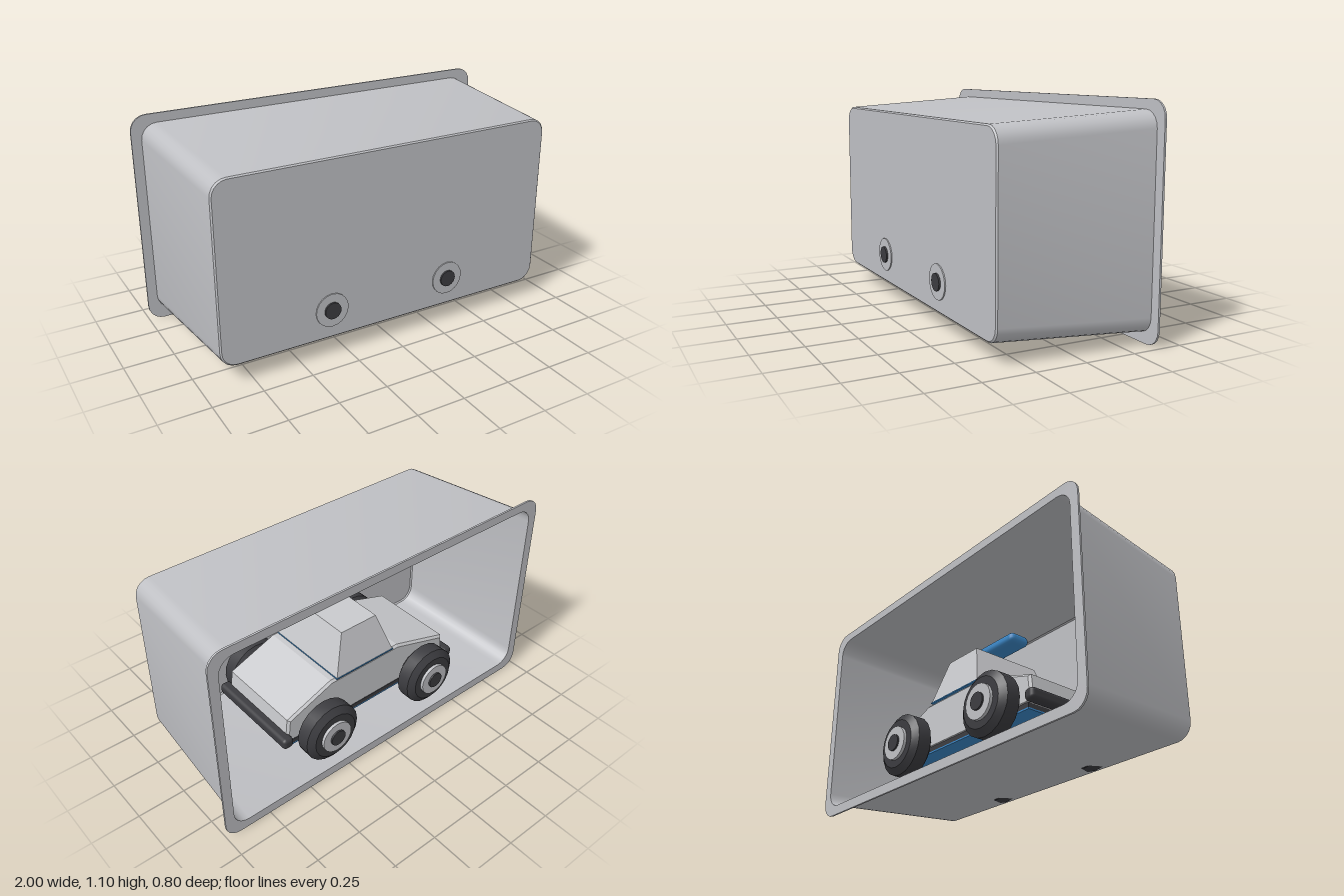
import * as THREE from 'three';
import { toCreasedNormals } from 'three/addons/utils/BufferGeometryUtils.js';
import { RoundedBoxGeometry } from 'three/addons/geometries/RoundedBoxGeometry.js';

function material(name, color, side = THREE.FrontSide) {
  const m = new THREE.MeshStandardMaterial({ color, side });
  m.name = name;
  return m;
}

// Rounded rectangle outline, counter-clockwise, centred on (0, cy)
function roundedRect(hx, hy, cy, r, steps = 5) {
  const pts = [];
  [[1, 1], [-1, 1], [-1, -1], [1, -1]].forEach(([sx, sy], c) => {
    for (let i = 0; i <= steps; i++) {
      const a = (c + i / steps) * Math.PI / 2;
      pts.push(new THREE.Vector2(sx * (hx - r) + r * Math.cos(a), cy + sy * (hy - r) + r * Math.sin(a)));
    }
  });
  return pts;
}

// Skin between outlines given from back to front
function loft(rings) {
  const pos = [], index = [], n = rings[0].pts.length;
  rings.forEach(({ pts, z }) => pts.forEach(p => pos.push(p.x, p.y, z)));
  for (let k = 0; k < rings.length - 1; k++) {
    for (let i = 0; i < n; i++) {
      const a = k * n + i, b = k * n + (i + 1) % n;
      index.push(a, b, b + n, a, b + n, a + n);
    }
  }
  const g = new THREE.BufferGeometry();
  g.setAttribute('position', new THREE.Float32BufferAttribute(pos, 3));
  g.setIndex(index);
  return toCreasedNormals(g, 0.5);
}

export function createModel() {
  const model = new THREE.Group();
  const shell = material('shellGrey', 0xbfc0c4, THREE.DoubleSide);
  const paint = material('bodyGrey', 0xc9cacd);
  const dark = material('darkRubber', 0x3c3c40);
  const blue = material('blue', 0x3c88c8);

  const add = (name, geometry, mat, x = 0, y = 0, z = 0, parent = model) => {
    const mesh = new THREE.Mesh(geometry, mat);
    mesh.name = name;
    mesh.position.set(x, y, z);
    parent.add(mesh);
    return mesh;
  };

  // Tapered display tray, open at the back
  const tray = new THREE.Group();
  tray.name = 'tray';
  model.add(tray);
  const mouth = roundedRect(0.95, 0.502, 0.552, 0.08);
  const face = roundedRect(0.898, 0.45, 0.552, 0.075);
  add('trayWalls', loft([
    { pts: mouth, z: -0.38 },
    { pts: roundedRect(0.905, 0.457, 0.552, 0.08), z: 0.378 },
    { pts: face, z: 0.385 },
  ]), shell, 0, 0, 0, tray);
  add('trayFace', new THREE.ShapeGeometry(new THREE.Shape(face)), shell, 0, 0, 0.385, tray);

  // Flat flange around the opening
  const flange = new THREE.Shape(roundedRect(1, 0.55, 0.55, 0.08));
  flange.holes.push(new THREE.Path(mouth.slice().reverse()));
  add('trayFlange', new THREE.ExtrudeGeometry(flange, { depth: 0.01, bevelEnabled: false }),
    shell, 0, 0, -0.385, tray);

  const car = new THREE.Group();
  car.name = 'car';
  model.add(car);

  // Body with sloped hood and tail
  const profile = new THREE.Shape([
    [-0.5, 0.23], [0.5, 0.23], [0.52, 0.26], [0.51, 0.35], [0.25, 0.45], [-0.19, 0.45], [-0.51, 0.35], [-0.52, 0.26],
  ].map(p => new THREE.Vector2(...p)));
  add('body', new THREE.ExtrudeGeometry(profile, {
    depth: 0.47, bevelSize: 0.012, bevelThickness: 0.012, bevelSegments: 1,
  }), paint, 0, 0, -0.235, car);

  // Cabin tapering to the roof
  const cabin = new THREE.BoxGeometry(0.37, 0.22, 0.5);
  const p = cabin.attributes.position;
  for (let i = 0; i < p.count; i++) {
    if (p.getY(i) > 0) p.setXYZ(i, p.getX(i) * 0.6, p.getY(i), p.getZ(i) * 0.78);
  }
  cabin.computeVertexNormals();
  add('cabin', cabin, paint, 0.035, 0.572, 0, car);
  add('cabinSeam', new THREE.BoxGeometry(0.374, 0.006, 0.504), blue, 0.035, 0.463, 0, car);

  // Roof bar
  add('roofBar', new RoundedBoxGeometry(0.46, 0.055, 0.12, 2, 0.025), blue, 0.05, 0.765, 0.01, car);

  // Underside: dark sill, blue floor, dark chassis
  add('sill', new THREE.BoxGeometry(1.02, 0.025, 0.49), dark, 0, 0.212, 0, car);
  add('floor', new THREE.BoxGeometry(1.02, 0.008, 0.49), blue, 0, 0.196, 0, car);
  add('chassis', new THREE.BoxGeometry(0.96, 0.03, 0.26), dark, 0, 0.178, 0, car);

  // Bumpers
  for (const s of [-1, 1]) {
    add('bumper', new RoundedBoxGeometry(0.06, 0.06, 0.56, 2, 0.02), dark, s * 0.545, 0.245, 0, car);
  }

  // Wheels and axles
  const tireProfile = [[0, -0.06], [0.125, -0.06], [0.16, -0.035], [0.16, 0.035], [0.125, 0.06], [0, 0.06]]
    .map(q => new THREE.Vector2(...q));
  const tire = toCreasedNormals(new THREE.LatheGeometry(tireProfile, 20).rotateX(Math.PI / 2), 0.5);
  const disc = (r, h) => new THREE.CylinderGeometry(r, r, h, 20).rotateX(Math.PI / 2);
  const rim = disc(0.087, 0.04), hub = disc(0.043, 0.04), axle = disc(0.03, 0.56);
  for (const x of [-0.333, 0.333]) {
    add('axle', axle, dark, x, 0.245, 0, car);
    for (const s of [-1, 1]) {
      add('tire', tire, dark, x, 0.245, s * 0.315, car);
      add('rim', rim, shell, x, 0.245, s * 0.371, car);
      add('hub', hub, dark, x, 0.245, s * 0.38, car);
    }
  }
  return model;
}
